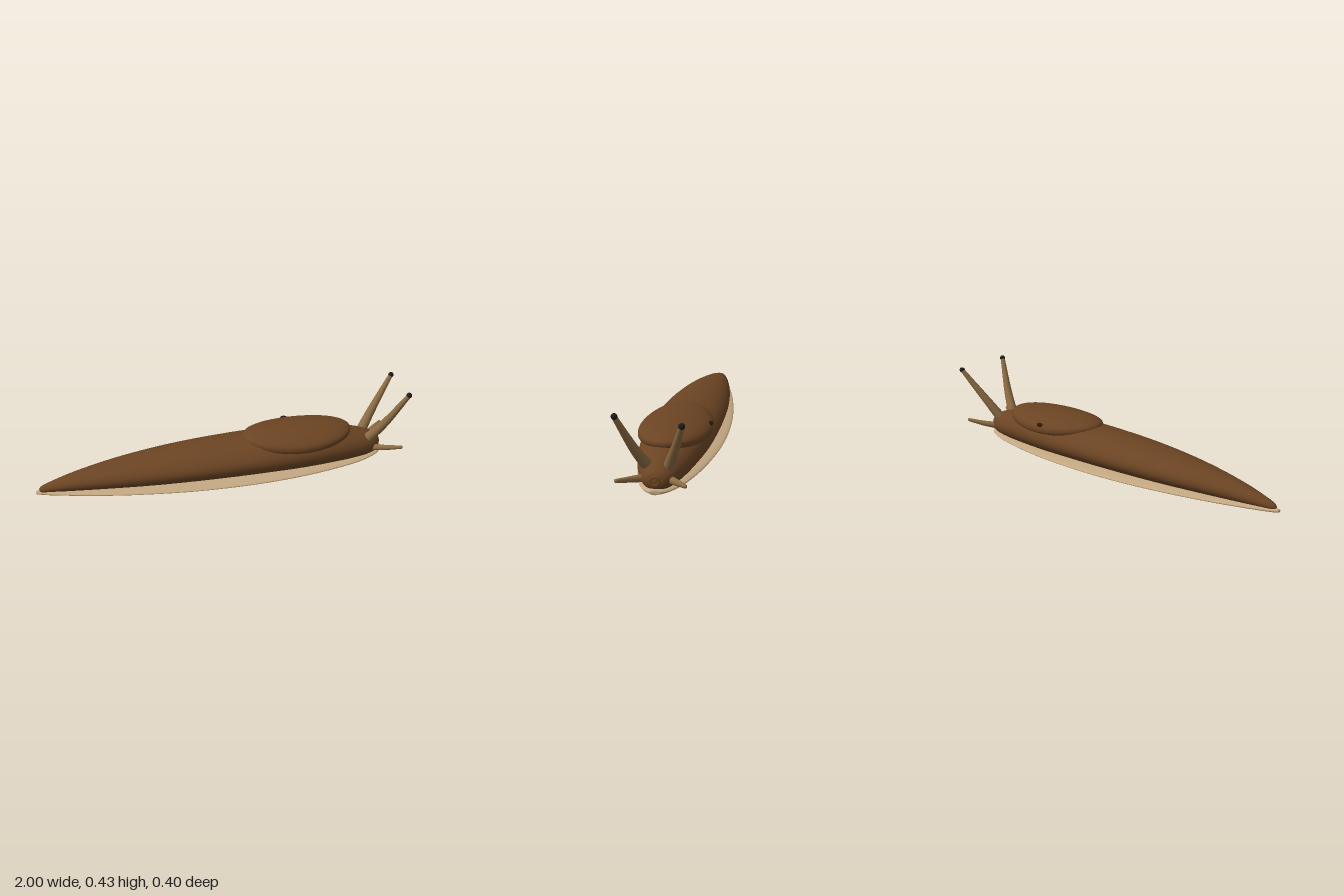
import * as THREE from 'three';

const mat = (name, color, side = THREE.FrontSide) => {
  const m = new THREE.MeshStandardMaterial({ color, side });
  m.name = name;
  return m;
};

// Smooth closed loft along x; each station is [x, half width, bottom y, top y]
function loft(stations, rings = 90, sides = 48) {
  const xw = new THREE.CatmullRomCurve3(stations.map(([x, w]) => new THREE.Vector3(x, w, 0)), false, 'centripetal');
  const yy = new THREE.CatmullRomCurve3(stations.map(([x, , b, t]) => new THREE.Vector3(x, b, t)), false, 'centripetal');
  const pos = [], index = [];
  for (let i = 0; i <= rings; i++) {
    const a = xw.getPoint(i / rings), h = yy.getPoint(i / rings);
    const cy = (h.y + h.z) / 2, ry = Math.max((h.z - h.y) / 2, 0.001), rz = Math.max(a.y, 0.001);
    for (let j = 0; j < sides; j++) {
      const t = (j / sides) * Math.PI * 2;
      pos.push(a.x, cy + Math.sin(t) * ry, Math.cos(t) * rz);
    }
  }
  for (let i = 0; i < rings; i++) {
    for (let j = 0; j < sides; j++) {
      const k = (j + 1) % sides;
      const a = i * sides + j, b = i * sides + k, c = a + sides, d = b + sides;
      index.push(a, c, b, b, c, d);
    }
  }
  // End caps
  const last = rings * sides;
  for (let j = 1; j < sides - 1; j++) {
    index.push(0, j, j + 1);
    index.push(last, last + j + 1, last + j);
  }
  const g = new THREE.BufferGeometry();
  g.setAttribute('position', new THREE.Float32BufferAttribute(pos, 3));
  g.setIndex(index);
  g.computeVertexNormals();
  return g;
}

// Tapered tube through points
function stalk(points, r0, r1, segs = 20, sides = 20) {
  const curve = new THREE.CatmullRomCurve3(points.map(p => new THREE.Vector3(...p)));
  const g = new THREE.TubeGeometry(curve, segs, 1, sides, false);
  const p = g.attributes.position, v = new THREE.Vector3();
  for (let i = 0; i <= segs; i++) {
    const c = curve.getPointAt(i / segs), r = THREE.MathUtils.lerp(r0, r1, i / segs);
    for (let j = 0; j <= sides; j++) {
      const n = i * (sides + 1) + j;
      v.fromBufferAttribute(p, n).sub(c).multiplyScalar(r).add(c);
      p.setXYZ(n, v.x, v.y, v.z);
    }
  }
  return g;
}

export function createModel() {
  const group = new THREE.Group();
  const skin = mat('brown skin', 0x6b4423);
  const sole = mat('pale sole', 0xc4a882);
  const horn = mat('tan tentacle', 0x8b6b43, THREE.DoubleSide);
  const dark = mat('black eye', 0x1a1a1a);
  const poreMat = mat('dark pore', 0x2a1a0e);
  const add = (name, geo, material, x = 0, y = 0, z = 0) => {
    const m = new THREE.Mesh(geo, material);
    m.name = name;
    m.position.set(x, y, z);
    group.add(m);
    return m;
  };

  // Long tapering body with a blunt head
  add('body', loft([
    [-0.982, 0.008, 0.018, 0.04], [-0.97, 0.018, 0.016, 0.05], [-0.9, 0.038, 0.015, 0.075],
    [-0.8, 0.064, 0.014, 0.102], [-0.6, 0.107, 0.012, 0.14], [-0.4, 0.14, 0.01, 0.166],
    [-0.2, 0.162, 0.01, 0.184], [0, 0.173, 0.01, 0.196], [0.2, 0.175, 0.01, 0.204],
    [0.4, 0.168, 0.01, 0.206], [0.6, 0.141, 0.012, 0.197], [0.7, 0.119, 0.015, 0.18],
    [0.79, 0.09, 0.022, 0.158], [0.835, 0.066, 0.033, 0.138], [0.856, 0.042, 0.05, 0.121],
    [0.865, 0.005, 0.083, 0.09],
  ]), skin);

  // Flat, wide foot
  add('foot', loft([
    [-1, 0.01, 0.012, 0.026], [-0.97, 0.024, 0.008, 0.029], [-0.8, 0.077, 0.003, 0.033],
    [-0.6, 0.126, 0.001, 0.036], [-0.4, 0.162, 0, 0.039], [-0.2, 0.187, 0, 0.041],
    [0, 0.199, 0.001, 0.044], [0.2, 0.198, 0.003, 0.046], [0.4, 0.18, 0.005, 0.047],
    [0.6, 0.145, 0.008, 0.048], [0.75, 0.104, 0.014, 0.049], [0.84, 0.058, 0.021, 0.049],
    [0.872, 0.025, 0.026, 0.049],
  ]), sole);

  // Mantle: a rounded pad drooping over the sides
  const pad = new THREE.SphereGeometry(1, 64, 40);
  const p = pad.attributes.position;
  for (let i = 0; i < p.count; i++) {
    const y = p.getY(i), z = p.getZ(i) * 0.178;
    p.setXYZ(i, p.getX(i) * 0.298, Math.sign(y) * Math.abs(y) ** 0.75 * 0.05 - 0.7 * z * z, z);
  }
  pad.computeVertexNormals();
  add('mantle', pad, skin, 0.395, 0.195, 0);

  // Breathing pore on the right side of the mantle
  add('breathingPore', new THREE.SphereGeometry(1, 20, 14), poreMat, 0.37, 0.199, -0.164)
    .scale.set(0.02, 0.012, 0.011);

  // Mouth ring
  add('mouth', new THREE.TorusGeometry(0.02, 0.006, 12, 32), skin, 0.861, 0.088, 0)
    .rotation.y = Math.PI / 2;

  // Eye stalks, slightly uneven, and short lower feelers
  for (const [side, s, tx, ty] of [['left', 1, 0.957, 0.414], ['right', -1, 0.982, 0.399]]) {
    add(side + 'EyeStalk', stalk([
      [0.79, 0.135, s * 0.052], [0.86, 0.235, s * 0.09], [tx, ty, s * 0.15],
    ], 0.028, 0.012), horn);
    add(side + 'Eye', new THREE.SphereGeometry(0.0148, 24, 16), dark, tx, ty, s * 0.149);
    add(side + 'Feeler', stalk([
      [0.8, 0.077, s * 0.052], [0.865, 0.091, s * 0.105], [0.94, 0.11, s * 0.155],
    ], 0.02, 0.009), horn);
    add(side + 'FeelerTip', new THREE.SphereGeometry(0.009, 16, 12), horn, 0.938, 0.11, s * 0.154);
  }
  return group;
}
